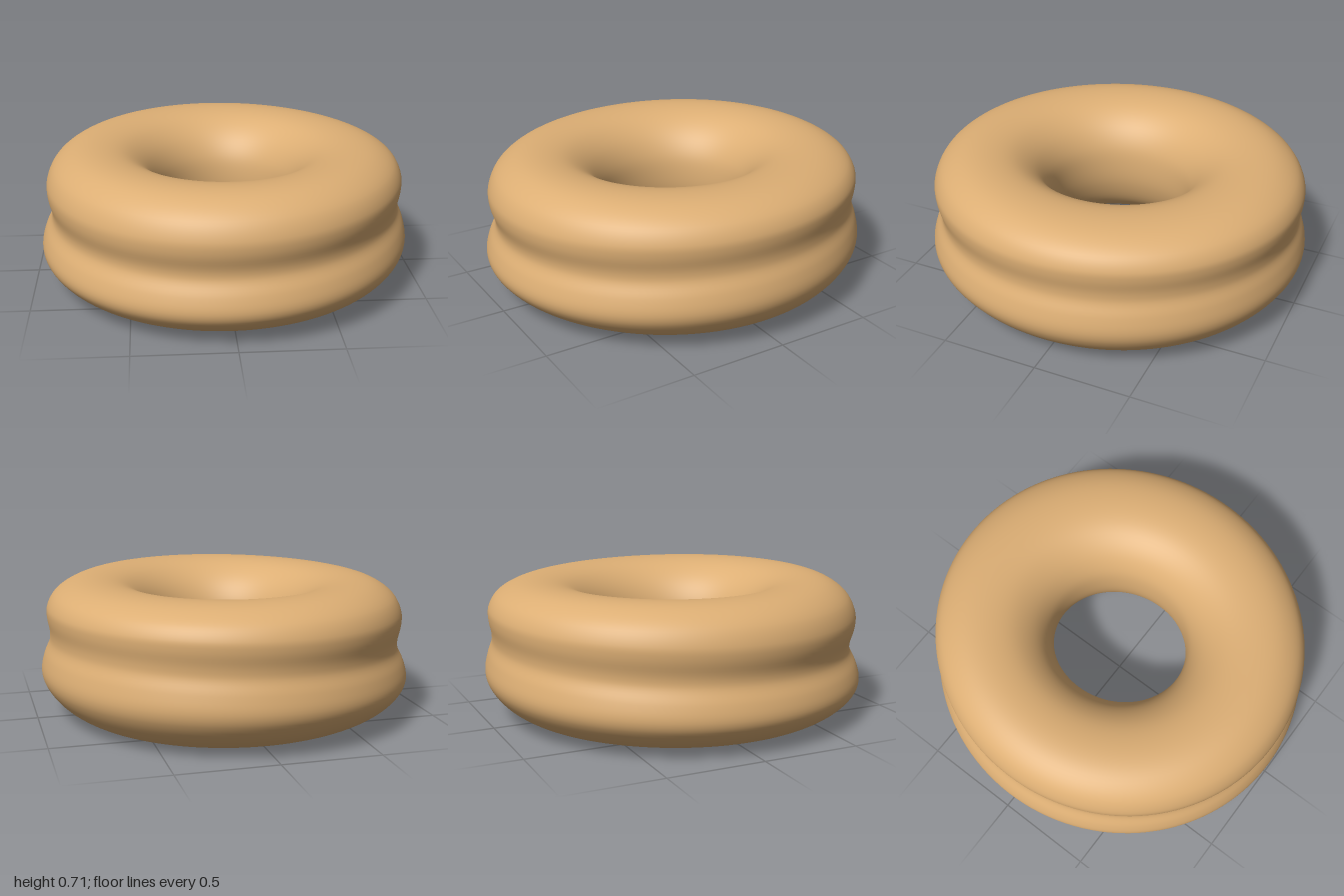
import * as THREE from 'three';
import { mergeVertices } from 'three/addons/utils/BufferGeometryUtils.js';

// Ring cross-section (radius, height): up the outside, over the top, down the hole
const PROFILE = [
  [0.68, 0.012], [0.81, 0.03], [0.92, 0.09], [0.985, 0.165], [1.0, 0.22],
  [0.985, 0.3], [0.962, 0.37], [0.962, 0.42], [0.975, 0.5], [0.972, 0.56],
  [0.93, 0.635], [0.83, 0.695], [0.7, 0.712], [0.56, 0.685], [0.45, 0.61],
  [0.385, 0.51], [0.365, 0.4], [0.375, 0.27], [0.43, 0.14], [0.53, 0.05],
];

export function createModel() {
  const group = new THREE.Group();
  group.name = 'doughnut';

  const dough = new THREE.MeshStandardMaterial({ color: 0xdcae74 });
  dough.name = 'golden dough';

  const curve = new THREE.CatmullRomCurve3(
    PROFILE.map(([r, y]) => new THREE.Vector3(r, y, 0)), true, 'centripetal');
  const points = curve.getPoints(100).map((p) => new THREE.Vector2(p.x, p.y));
  let geometry = new THREE.LatheGeometry(points, 128);

  // Hand-made unevenness: slightly oval, tilted crease, softly wavy faces
  const pos = geometry.attributes.position;
  const smooth = THREE.MathUtils.smoothstep;
  for (let i = 0; i < pos.count; i++) {
    const x = pos.getX(i), y = pos.getY(i), z = pos.getZ(i);
    const r = Math.hypot(x, z), a = Math.atan2(x, z);
    const outer = smooth(r, 0.4, 0.9);
    const upper = smooth(y, 0.25, 0.5);
    const oval = THREE.MathUtils.lerp(0.92, 0.965 - 0.012 * upper, outer);
    const middle = Math.sin(Math.PI * THREE.MathUtils.clamp(y / 0.72, 0, 1));
    const crease = Math.exp(-(((y - 0.4) / 0.08) ** 2)) * outer;
    const swell = 1 - crease * 0.008 * (1 + Math.cos(a + 0.6));
    const tilt = 0.028 * middle * outer * (x - z);
    const wave = 0.005 * Math.sin(2 * a + 0.5) * outer * (1 - middle);
    pos.setXYZ(i, x * oval * swell, Math.max(0, y + tilt + wave), z * swell);
  }

  // Weld the seams so that the shading is smooth all round
  geometry.deleteAttribute('uv');
  geometry.deleteAttribute('normal');
  geometry = mergeVertices(geometry, 1e-4);
  geometry.computeVertexNormals();

  const ring = new THREE.Mesh(geometry, dough);
  ring.name = 'doughRing';
  group.add(ring);
  return group;
}
